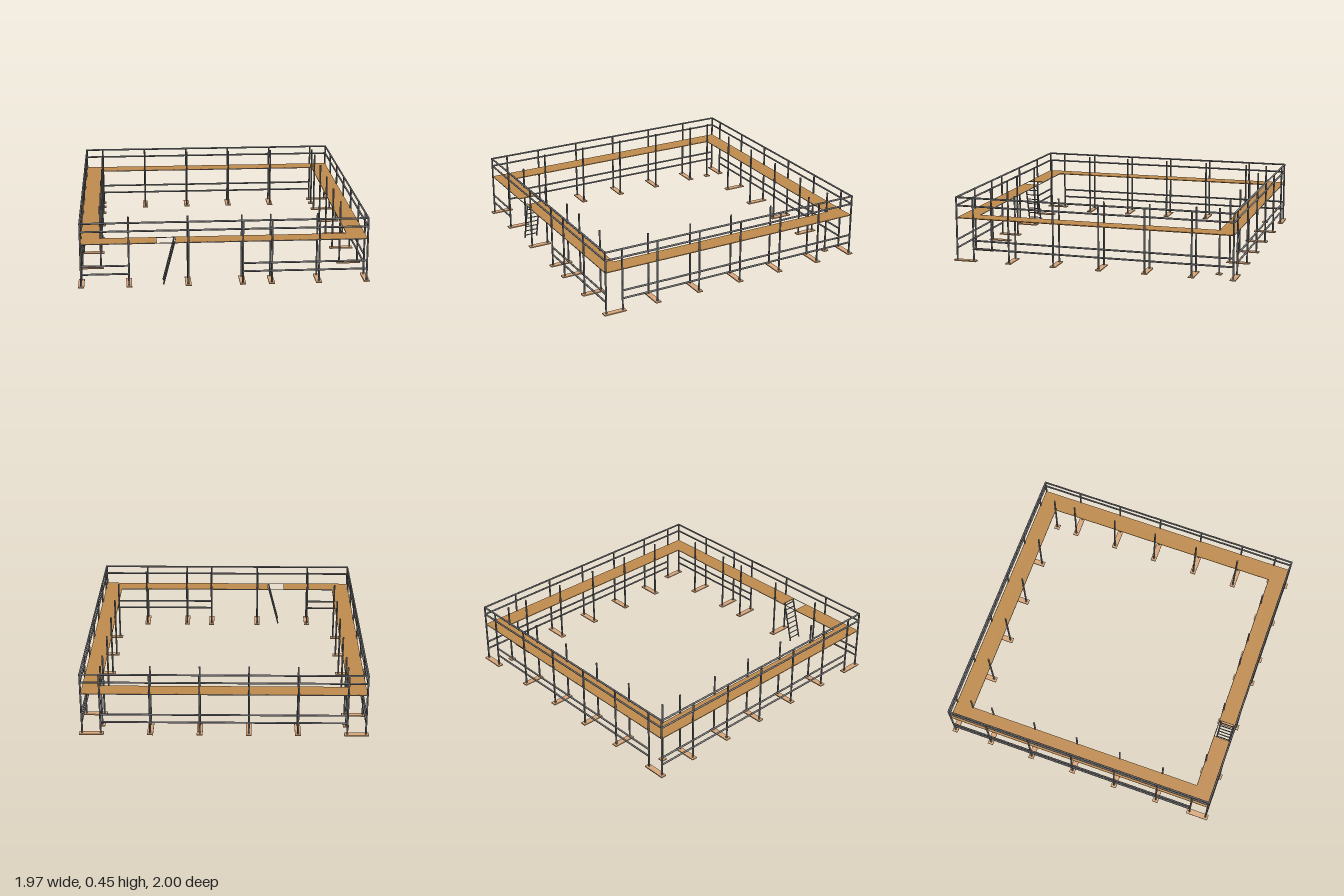
import * as THREE from 'three';

const steel = new THREE.MeshStandardMaterial({ color: 0x77777a });
const wood = new THREE.MeshStandardMaterial({ color: 0xc08c4f });
const paleWood = new THREE.MeshStandardMaterial({ color: 0xd9a87c });

// Plan lines of the ring: outer and inner post rows
const XO = 0.967, XI = 0.84;
const ZF = 0.977, ZFI = 0.855, ZB = -0.979, ZBI = -0.857;
const H = 0.452, DECK = 0.305, R = 0.0065;

export function createModel() {
  const model = new THREE.Group();
  const groups = {};
  const add = (group, mesh, name) => {
    if (!groups[group]) {
      groups[group] = new THREE.Group();
      groups[group].name = group;
      model.add(groups[group]);
    }
    mesh.name = name;
    groups[group].add(mesh);
    return mesh;
  };

  // Round tube between two points
  const tube = (group, name, a, b, r = R) => {
    const p = new THREE.Vector3(...a), q = new THREE.Vector3(...b);
    const d = q.clone().sub(p);
    const m = new THREE.Mesh(new THREE.CylinderGeometry(r, r, d.length(), 10), steel);
    m.position.copy(p).add(q).multiplyScalar(0.5);
    m.quaternion.setFromUnitVectors(new THREE.Vector3(0, 1, 0), d.normalize());
    return add(group, m, name);
  };

  // Box given by its minimum and maximum corners
  const box = (group, name, mat, x0, x1, y0, y1, z0, z1) => {
    const m = new THREE.Mesh(new THREE.BoxGeometry(x1 - x0, y1 - y0, z1 - z0), mat);
    m.position.set((x0 + x1) / 2, (y0 + y1) / 2, (z0 + z1) / 2);
    return add(group, m, name);
  };

  const post = (x, z) => tube('posts', 'post', [x, 0.006, z], [x, H, z]);

  // Pair of posts standing on one sole board
  const frame = (x0, z0, x1, z1) => {
    post(x0, z0);
    post(x1, z1);
    const e = 0.02;
    box('soleBoards', 'soleBoard', paleWood,
      Math.min(x0, x1) - e, Math.max(x0, x1) + e, 0, 0.008,
      Math.min(z0, z1) - e, Math.max(z0, z1) + e);
  };

  // Frames of the front, back and both sides
  for (const x of [-0.645, -0.245, 0.123, 0.32, 0.64]) frame(x, ZFI, x, ZF);
  for (const x of [-0.505, -0.17, 0.165, 0.503]) frame(x, ZBI, x, ZB);
  for (const s of [-1, 1]) {
    for (const z of [0.595, 0.272, -0.052, -0.375, -0.697]) frame(s * XI, z, s * XO, z);
    frame(s * XO, ZFI, s * XO, ZF);
    frame(s * XI, ZB, s * XO, ZB);
    frame(s * XI, ZBI, s * XI, ZBI);
  }

  // Guard rails around the outside
  for (const y of [0.448, 0.39]) {
    for (const z of [ZF, ZB]) tube('guardRails', 'guardRail', [-XO, y, z], [XO, y, z]);
    for (const x of [-XO, XO]) tube('guardRails', 'guardRail', [x, y, ZB], [x, y, ZF]);
  }

  // Lower rails, left open around the ladder
  for (const y of [0.148, 0.09]) {
    tube('lowerRails', 'lowerRail', [-XI, y, ZB], [XI, y, ZB]);
    tube('lowerRails', 'lowerRail', [-XO, y, ZF], [-0.645, y, ZF]);
    tube('lowerRails', 'lowerRail', [0.123, y, ZF], [XO, y, ZF]);
    for (const x of [-XO, XO]) tube('lowerRails', 'lowerRail', [x, y, ZB], [x, y, ZFI]);
  }

  // Walkway with a ladder opening in the front run
  const y0 = DECK - 0.006, hatch = [-0.455, -0.33];
  box('walkway', 'backDeck', wood, -XO, XO, y0, DECK, ZB, ZBI);
  box('walkway', 'leftDeck', wood, XI, XO, y0, DECK, ZBI, ZFI);
  box('walkway', 'rightDeck', wood, -XO, -XI, y0, DECK, ZBI, ZFI);
  box('walkway', 'frontDeckRight', wood, -XO, hatch[0], y0, DECK, ZFI, ZF);
  box('walkway', 'frontDeckLeft', wood, hatch[1], XO, y0, DECK, ZFI, ZF);

  // Thin bearers along the front and back deck edges
  for (const z of [ZF, ZFI, ZB, ZBI]) {
    const x = z === ZFI || z === ZBI ? XI : XO;
    tube('deckBearers', 'deckBearer', [-x, DECK - 0.003, z], [x, DECK - 0.003, z], 0.003);
  }

  // Leaning ladder
  const foot = [-0.414, 0.003], head = [-0.336, 0.305], zs = [0.868, 0.962];
  for (const z of zs) tube('ladder', 'ladderRail', [...foot, z], [...head, z], 0.0055);
  for (let i = 0; i < 8; i++) {
    const t = (i + 0.6) / 8;
    const x = foot[0] + (head[0] - foot[0]) * t, y = foot[1] + (head[1] - foot[1]) * t;
    tube('ladder', 'rung', [x, y, zs[0]], [x, y, zs[1]], 0.0038);
  }

  return model;
}
